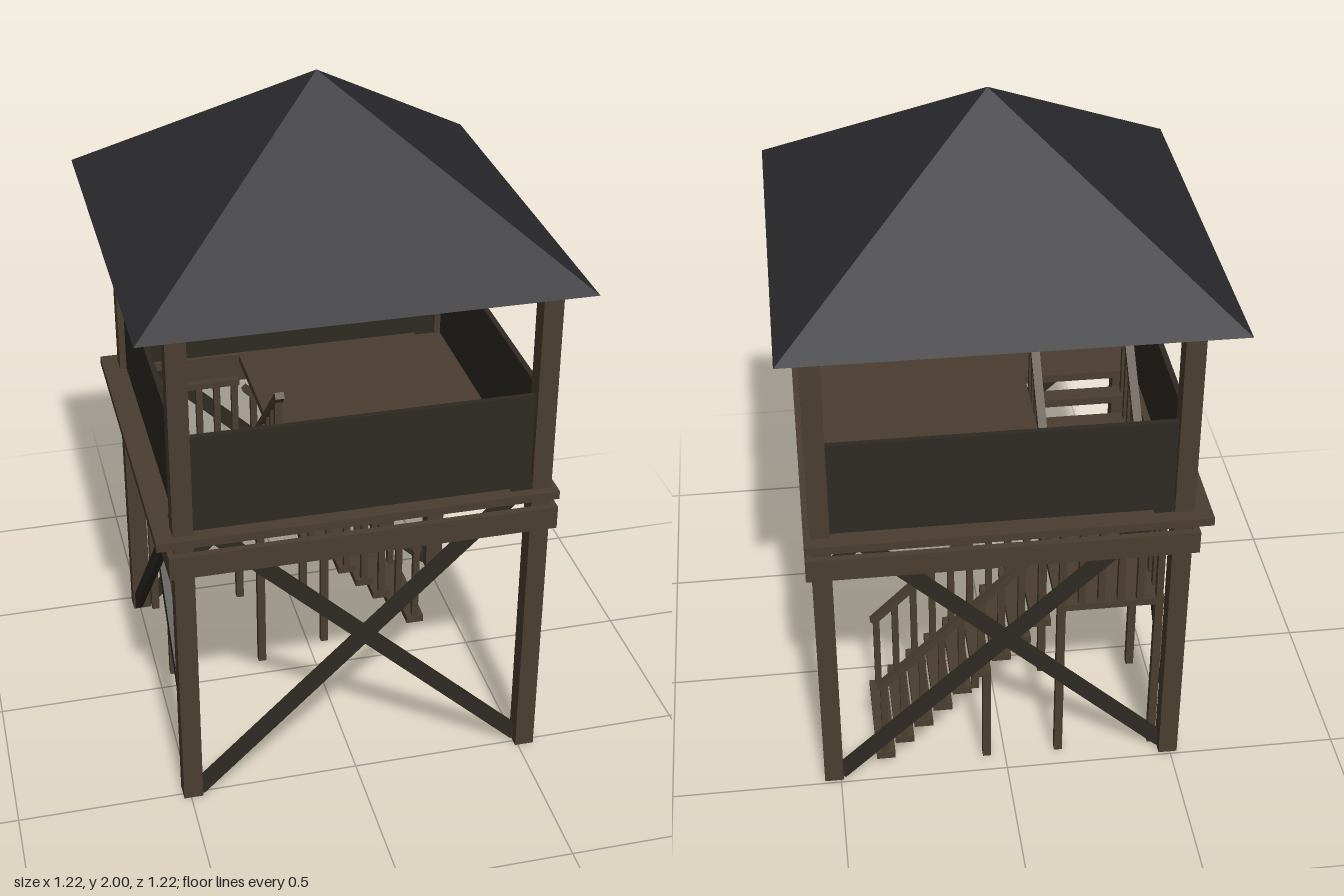
import * as THREE from 'three';

const wood = new THREE.MeshStandardMaterial({ color: 0x4a3e30 });
const darkWood = new THREE.MeshStandardMaterial({ color: 0x2e2a23 });
const roofing = new THREE.MeshStandardMaterial({ color: 0x2a2a2d, side: THREE.DoubleSide, flatShading: true });

// Centre lines of the corner posts
const X0 = -0.493, X1 = 0.52, Z0 = -0.463, Z1 = 0.493;

// Box given by its extents on each axis
function block(parent, name, [xa, xb], [ya, yb], [za, zb], mat = wood) {
  const mesh = new THREE.Mesh(new THREE.BoxGeometry(xb - xa, yb - ya, zb - za), mat);
  mesh.position.set((xa + xb) / 2, (ya + yb) / 2, (za + zb) / 2);
  mesh.name = name;
  parent.add(mesh);
  return mesh;
}

// Square bar running between two points
function bar(parent, name, a, b, w, d, mat = wood) {
  const p = new THREE.Vector3(...a), q = new THREE.Vector3(...b);
  const mesh = new THREE.Mesh(new THREE.BoxGeometry(w, d, p.distanceTo(q)), mat);
  mesh.position.copy(p).add(q).multiplyScalar(0.5);
  mesh.lookAt(q);
  mesh.name = name;
  parent.add(mesh);
}

// Rectangular frame of four boards, outer extents and board thickness given
function ring(parent, name, [xa, xb], y, [za, zb], t, mat = wood) {
  block(parent, name + 'Front', [xa, xb], y, [zb - t, zb], mat);
  block(parent, name + 'Back', [xa, xb], y, [za, za + t], mat);
  block(parent, name + 'Left', [xb - t, xb], y, [za + t, zb - t], mat);
  block(parent, name + 'Right', [xa, xa + t], y, [za + t, zb - t], mat);
}

// Flight climbing along local -x, treads spanning z from 0 to -width
function flight(name, count, run, rise, width, firstY) {
  const g = new THREE.Group();
  g.name = name;
  const railH = 0.265;
  for (let i = 0; i < count; i++) {
    const x = -i * run, y = firstY + i * rise;
    block(g, 'tread', [x - 0.028, x + 0.028], [y - 0.012, y + 0.012], [-width, 0]);
    for (const z of [-0.012, -width + 0.012])
      block(g, 'baluster', [x - 0.01, x + 0.01], [y, y + railH], [z - 0.01, z + 0.01]);
  }
  const n = count - 0.5;
  for (const z of [-0.012, -width + 0.012])
    bar(g, 'handrail', [0.012, firstY + railH, z], [-n * run, firstY + n * rise + railH, z], 0.026, 0.02);
  return g;
}

export function createModel() {
  const tower = new THREE.Group();
  tower.name = 'watchtower';

  // Corner posts
  for (const x of [X0, X1])
    for (const z of [Z0, Z1])
      block(tower, 'cornerPost', [x - 0.028, x + 0.028], [0, 1.52], [z - 0.028, z + 0.028]);

  // Boards below the platform and beams below the roof
  ring(tower, 'lowerBeam', [-0.537, 0.565], [0.79, 0.86], [-0.52, 0.54], 0.02);
  ring(tower, 'roofBeam', [-0.535, 0.562], [1.515, 1.55], [-0.52, 0.537], 0.075);

  // Cross braces on the front, back and right-hand stair side
  for (const z of [Z0, Z1]) {
    bar(tower, 'crossBrace', [-0.475, 0.02, z + 0.012], [0.5, 0.95, z + 0.012], 0.022, 0.042, darkWood);
    bar(tower, 'crossBrace', [0.5, 0.02, z - 0.012], [-0.475, 0.95, z - 0.012], 0.022, 0.042, darkWood);
  }
  bar(tower, 'crossBrace', [X0 + 0.012, 0.02, 0.475], [X0 + 0.012, 0.95, -0.445], 0.022, 0.042, darkWood);
  bar(tower, 'crossBrace', [X0 - 0.012, 0.02, -0.445], [X0 - 0.012, 0.95, 0.475], 0.022, 0.042, darkWood);

  // Platform floor with the stair opening
  const floor = new THREE.Shape([[-0.57, -0.545], [0.565, -0.545], [0.565, 0.53], [-0.57, 0.53]]
    .map(p => new THREE.Vector2(...p)));
  floor.holes.push(new THREE.Path([[-0.465, -0.24], [-0.465, 0.44], [-0.145, 0.44], [-0.145, -0.24]]
    .map(p => new THREE.Vector2(...p))));
  const floorGeo = new THREE.ExtrudeGeometry(floor, { depth: 0.025, bevelEnabled: false });
  const platform = new THREE.Mesh(floorGeo.rotateX(-Math.PI / 2), wood);
  platform.position.y = 0.89;
  platform.name = 'platform';
  tower.add(platform);

  // Parapet walls between the posts
  ring(tower, 'parapet', [X0 - 0.008, X1 + 0.008], [0.915, 1.207], [Z0 - 0.008, Z1 + 0.008], 0.016, darkWood);

  // Hollow pyramid roof
  const roof = new THREE.Mesh(new THREE.ConeGeometry(0.61 * Math.SQRT2, 0.45, 4, 1, true).rotateY(Math.PI / 4), roofing);
  roof.position.y = 1.775;
  roof.name = 'roof';
  tower.add(roof);

  // Lower flight climbs toward the landing
  const lower = flight('lowerFlight', 9, 0.058, 0.059, 0.325, 0.035);
  lower.position.set(0.36, 0, -0.115);
  tower.add(lower);

  // Upper flight turns toward the front
  const upper = flight('upperFlight', 5, 0.059, 0.059, 0.31, 0.615);
  upper.rotation.y = Math.PI / 2;
  upper.position.set(-0.15, 0, -0.03);
  tower.add(upper);

  // Landing, its railing and its supports
  const landing = new THREE.Group();
  landing.name = 'landing';
  tower.add(landing);
  block(landing, 'landingDeck', [-0.465, -0.15], [0.545, 0.567], [-0.44, -0.06]);
  for (let i = 0; i < 6; i++) {
    const x = -0.45 + i * 0.057, z = -0.43 + i * 0.06;
    block(landing, 'baluster', [x - 0.01, x + 0.01], [0.56, 0.83], [-0.438, -0.418]);
    block(landing, 'baluster', [-0.46, -0.44], [0.56, 0.83], [z - 0.01, z + 0.01]);
  }
  block(landing, 'handrail', [-0.465, -0.15], [0.82, 0.84], [-0.441, -0.415]);
  block(landing, 'handrail', [-0.463, -0.437], [0.82, 0.84], [-0.44, -0.06]);
  for (const x of [-0.45, -0.163])
    for (const z of [-0.43, -0.073])
      block(landing, 'landingPost', [x - 0.012, x + 0.012], [0, 0.55], [z - 0.012, z + 0.012]);
  for (const z of [-0.43, -0.128])
    block(tower, 'stairPost', [0.043, 0.067], [0, 0.335], [z - 0.012, z + 0.012]);

  return tower;
}
